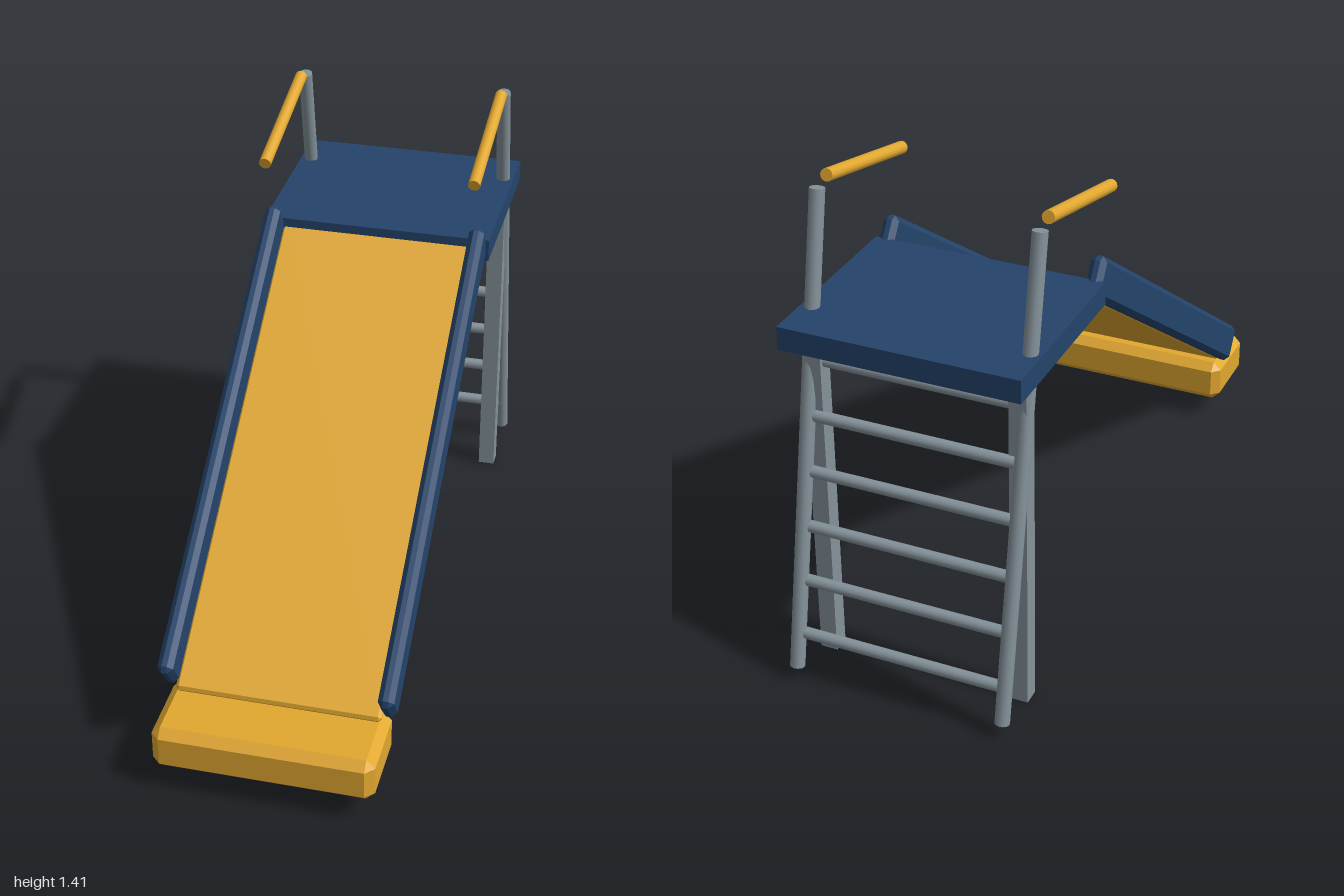
import * as THREE from 'three';
import { ConvexGeometry } from 'three/addons/geometries/ConvexGeometry.js';

const paint = (name, color) => {
  const m = new THREE.MeshStandardMaterial({ color });
  m.name = name;
  return m;
};

// Box with all edges cut flat by c
function chamferBox(w, h, d, c) {
  const pts = [];
  const [x, y, z] = [w / 2, h / 2, d / 2];
  for (const sx of [-1, 1]) for (const sy of [-1, 1]) for (const sz of [-1, 1]) {
    pts.push(
      new THREE.Vector3(sx * x, sy * (y - c), sz * (z - c)),
      new THREE.Vector3(sx * (x - c), sy * y, sz * (z - c)),
      new THREE.Vector3(sx * (x - c), sy * (y - c), sz * z));
  }
  return new ConvexGeometry(pts);
}

export function createModel() {
  const blue = paint('navy blue', 0x24446b);
  const yellow = paint('golden yellow', 0xe2a830);
  const grey = paint('steel grey', 0x84929a);
  const model = new THREE.Group();
  model.name = 'playgroundSlide';

  const add = (name, geometry, material, x, y, z, parent = model) => {
    const mesh = new THREE.Mesh(geometry, material);
    mesh.name = name;
    mesh.position.set(x, y, z);
    parent.add(mesh);
    return mesh;
  };

  // Round bar between two points
  const bar = (name, material, a, b, r) => {
    const from = new THREE.Vector3(...a), to = new THREE.Vector3(...b);
    const dir = to.clone().sub(from);
    const mid = from.add(to).multiplyScalar(0.5);
    const mesh = add(name, new THREE.CylinderGeometry(r, r, dir.length(), 12), material, mid.x, mid.y, mid.z);
    mesh.quaternion.setFromUnitVectors(new THREE.Vector3(0, 1, 0), dir.normalize());
    return mesh;
  };

  // Platform and landing block
  add('platform', new THREE.BoxGeometry(0.68, 0.067, 0.555), blue, 0, 1.033, -0.637);
  add('landingBlock', chamferBox(0.62, 0.135, 0.25, 0.025), yellow, 0, 0.132, 0.875);

  // Sloped chute: bed with a side wall on each edge
  const chute = new THREE.Group();
  chute.name = 'chute';
  chute.position.set(0, 0.664, 0.235);
  chute.rotation.x = 0.608;
  model.add(chute);
  add('slideBed', chamferBox(0.58, 0.026, 1.49, 0.009), yellow, 0, -0.045, 0, chute);

  for (const s of [1, -1]) {
    const side = s > 0 ? 'left' : 'right';
    add(side + 'SideWall', chamferBox(0.045, 0.116, 1.455, 0.015), blue, s * 0.308, 0, 0, chute);
    add(side + 'Post', new THREE.BoxGeometry(0.05, 1.01, 0.05), grey, s * 0.292, 0.505, -0.805);
    bar(side + 'LadderRail', grey, [s * 0.308, 0.04, -0.978], [s * 0.308, 1.38, -0.722], 0.021);
    bar(side + 'Handrail', yellow, [s * 0.308, 1.295, -0.25], [s * 0.308, 1.393, -0.672], 0.018);
  }

  // Ladder rungs follow the lean of the rails
  for (let i = 0; i < 6; i++) {
    const y = 0.14 + i * 0.157;
    const z = -0.978 + (y - 0.04) * 0.191 + 0.006;
    bar('rung' + (i + 1), grey, [-0.305, y, z], [0.305, y, z], 0.017);
  }
  return model;
}
